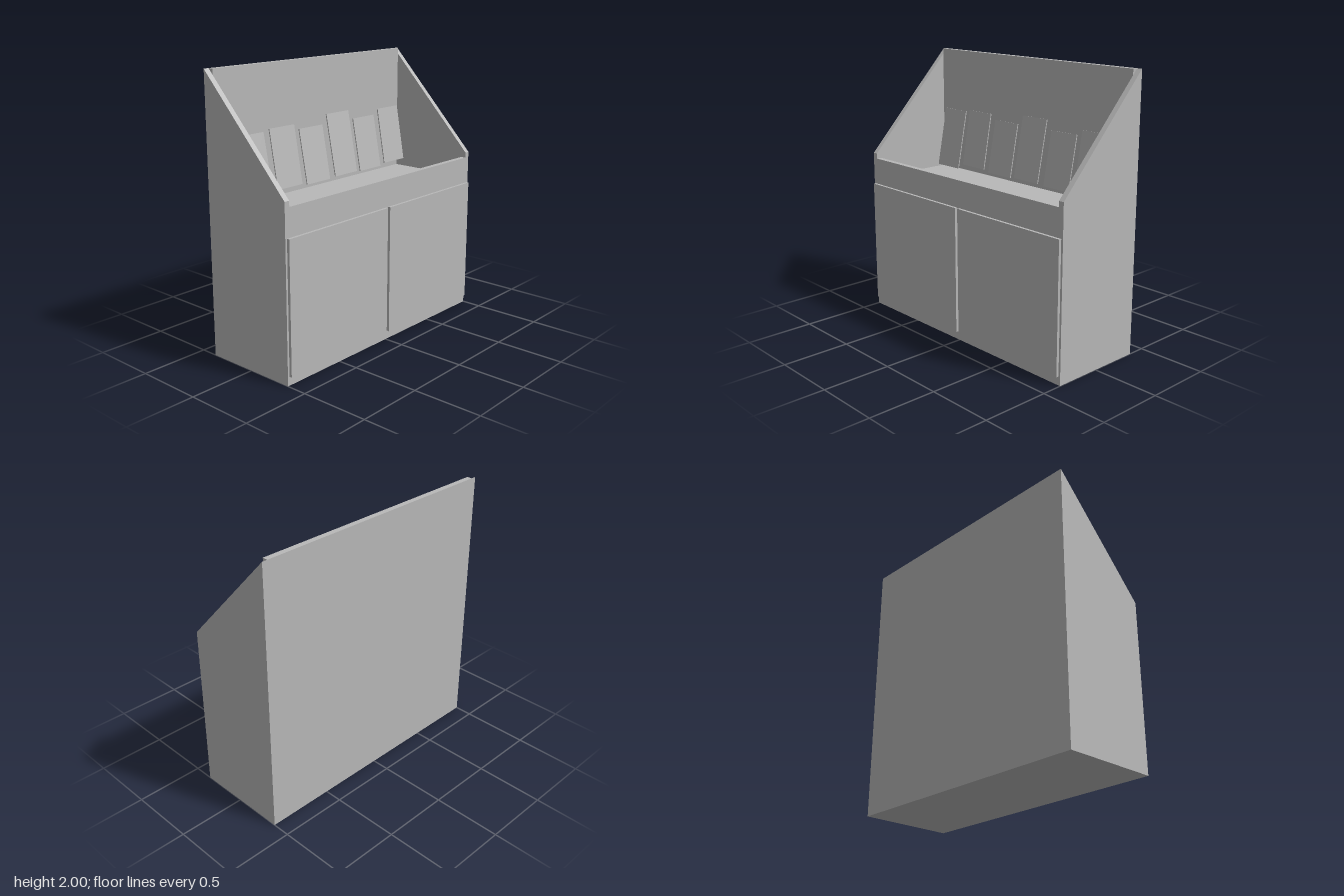
import * as THREE from 'three';

export function createModel() {
  const group = new THREE.Group();
  group.name = 'displayCabinet';
  const grey = new THREE.MeshStandardMaterial({ color: 0xb8b8b8 });
  grey.name = 'plain grey';

  function add(name, geometry) {
    const mesh = new THREE.Mesh(geometry, grey);
    mesh.name = name;
    group.add(mesh);
    return mesh;
  }

  // Box given by its lower and upper limits on each axis
  function box(name, x0, x1, y0, y1, z0, z1) {
    add(name, new THREE.BoxGeometry(x1 - x0, y1 - y0, z1 - z0))
      .position.set((x0 + x1) / 2, (y0 + y1) / 2, (z0 + z1) / 2);
  }

  // Side walls with sloping top edges; profile drawn as (-z, y)
  const wall = 0.04, front = 0.35, back = -0.37, inner = 1 - wall;
  const profile = new THREE.Shape([
    [-front, 0], [-back, 0], [-back, 2], [-front, 1.24],
  ].map(([u, y]) => new THREE.Vector2(u, y)));
  for (const [name, x] of [['rightSide', -1], ['leftSide', inner]]) {
    const geometry = new THREE.ExtrudeGeometry(profile, { depth: wall, bevelEnabled: false });
    geometry.rotateY(Math.PI / 2);
    add(name, geometry).position.x = x;
  }

  // Carcass panels between the sides
  box('backPanel', -inner, inner, 0, 2, back, back + wall);
  box('frontPanel', -inner, inner, 0, 1.2, front - wall, front);
  box('floorPanel', -inner, inner, 0, wall, back + wall, front - wall);
  box('shelf', -inner, inner, 1.05 - wall, 1.05, back + wall, front - wall);

  // Pair of doors standing proud of the front
  box('rightDoor', -0.985, -0.012, 0.063, 1, front, 0.37);
  box('leftDoor', 0.012, 0.985, 0.063, 1, front, 0.37);

  // Leaning cards: centre x, bottom y, top y, bottom z, top z
  const cards = [
    [-0.72, 1.1, 1.545, -0.165, -0.26],
    [-0.43, 1.14, 1.56, -0.172, -0.255],
    [-0.14, 1.125, 1.52, -0.172, -0.255],
    [0.15, 1.135, 1.59, -0.163, -0.26],
    [0.44, 1.125, 1.52, -0.172, -0.255],
    [0.73, 1.14, 1.56, -0.172, -0.255],
  ];
  const thickness = 0.008;
  cards.forEach(([x, y0, y1, z0, z1], i) => {
    const dz = z1 - z0 + thickness, dy = y1 - y0;
    const card = add('card' + (i + 1), new THREE.BoxGeometry(0.24, Math.hypot(dy, dz), thickness));
    card.position.set(x, (y0 + y1) / 2, (z0 + z1) / 2);
    card.rotation.x = Math.atan2(dz, dy);
  });

  return group;
}
